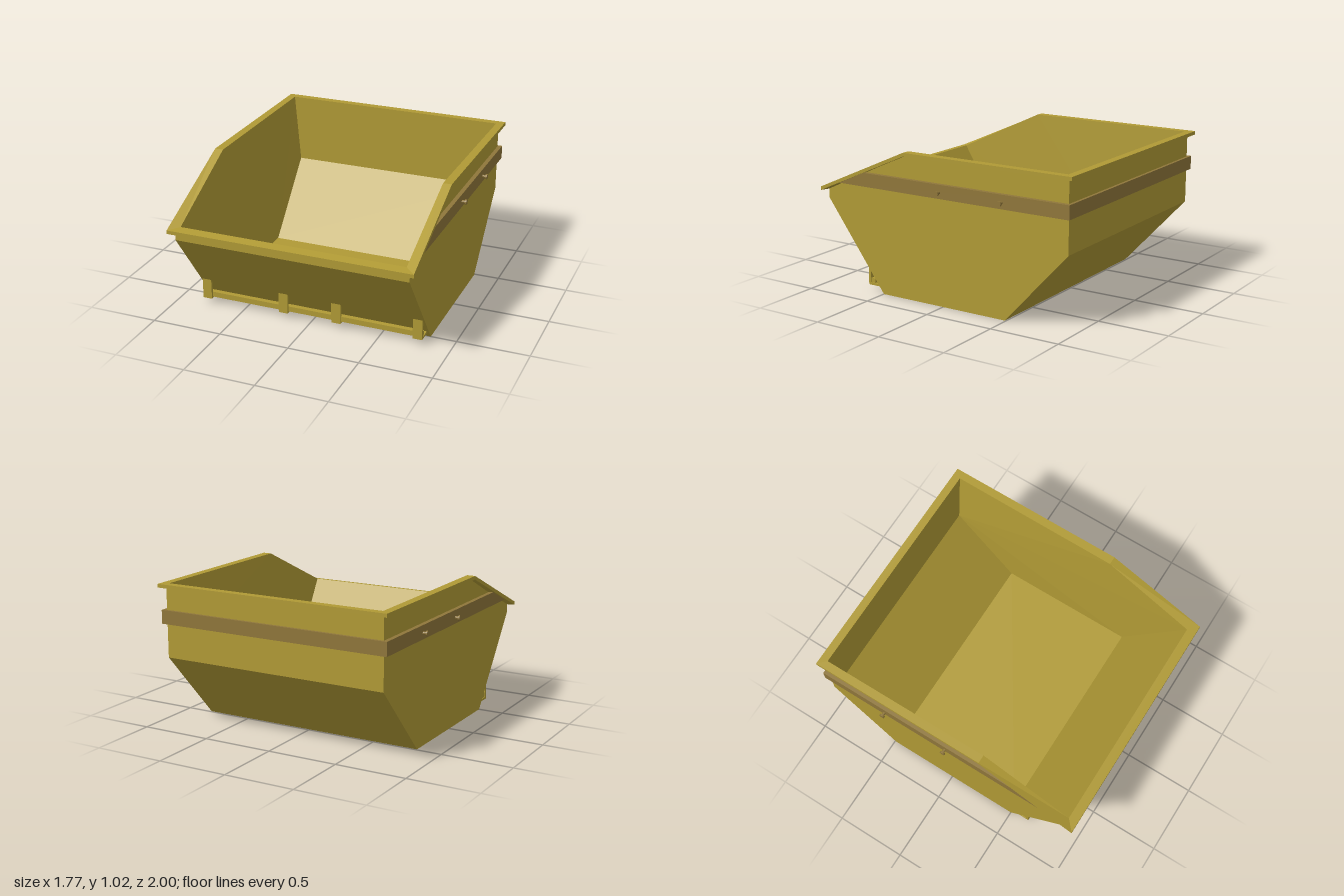
import * as THREE from 'three';

const yellow = new THREE.MeshStandardMaterial({ color: 0xb09a35, flatShading: true, side: THREE.DoubleSide });
const brown = new THREE.MeshStandardMaterial({ color: 0x8f763a, flatShading: true, side: THREE.DoubleSide });

// Flat-shaded mesh from polygons, each split as a fan from its first corner
function panels(name, polygons, material = yellow) {
  const pos = [];
  for (const p of polygons)
    for (let i = 1; i < p.length - 1; i++) pos.push(...p[0], ...p[i], ...p[i + 1]);
  const geo = new THREE.BufferGeometry();
  geo.setAttribute('position', new THREE.Float32BufferAttribute(pos, 3));
  geo.computeVertexNormals();
  const mesh = new THREE.Mesh(geo, material);
  mesh.name = name;
  return mesh;
}

// Box given by its limits
function box(name, x0, x1, y0, y1, z0, z1, material = yellow) {
  const mesh = new THREE.Mesh(new THREE.BoxGeometry(x1 - x0, y1 - y0, z1 - z0), material);
  mesh.position.set((x0 + x1) / 2, (y0 + y1) / 2, (z0 + z1) / 2);
  mesh.name = name;
  return mesh;
}

const mirror = ([x, y, z]) => [-x, y, z];

// Both sides of a profile of [x, y, z] points and the strips that join them
function trough(name, profile) {
  const left = profile.map(mirror);
  const polys = [profile.slice().reverse(), left];
  for (let i = 0; i < profile.length - 1; i++)
    polys.push([profile[i], profile[i + 1], left[i + 1], left[i]]);
  return { name, polys };
}

function createModel() {
  const group = new THREE.Group();

  // Outer shell, open at the top
  const outerZY = [[0.96, 0.69], [0.96, 0.62], [0.5, 0], [-0.49, 0], [-0.96, 0.51], [-0.96, 1.0], [0.28, 1.0]];
  const side = outerZY.map(([z, y]) => [0.82, y, z]);
  const left = side.map(mirror);
  const shell = [side, left.slice().reverse()];
  for (let i = 0; i < 5; i++) shell.push([side[i + 1], side[i], left[i], left[i + 1]]);
  group.add(panels('outerShell', shell));

  // Inner lining, tapering toward the floor; starts at the rear knee
  const knee = [0.76, 0.52, -0.945], rearRim = [0.805, 1.02, -0.945], bendRim = [0.8, 1.02, 0.28];
  const frontRim = [0.79, 0.71, 0.935], floorFront = [0.76, 0.02, 0.49], floorRear = [0.76, 0.02, -0.49];
  const inner = [knee, rearRim, bendRim, frontRim, floorFront, floorRear];
  const lining = [inner, inner.map(mirror).reverse()];
  const run = [rearRim, knee, floorRear, floorFront, frontRim];
  for (let i = 0; i < 4; i++)
    lining.push([run[i], mirror(run[i]), mirror(run[i + 1]), run[i + 1]]);
  group.add(panels('innerLining', lining));

  // Rim flange: a closed ring of quads, thickness 0.025
  const outerHalf = [[0.86, 0.7, 1], [0.86, 1.02, 0.28], [0.86, 1.02, -1]];
  const innerHalf = [frontRim, bendRim, rearRim];
  const loop = half => [...half, ...half.map(mirror).reverse()];
  const drop = ([x, y, z]) => [x, y - 0.025, z];
  const o = loop(outerHalf), n = loop(innerHalf);
  const rim = [];
  for (let i = 0; i < 6; i++) {
    const j = (i + 1) % 6;
    rim.push([o[i], o[j], n[j], n[i]]);
    rim.push([o[i], drop(o[i]), drop(o[j]), o[j]]);
    rim.push([drop(o[i]), drop(n[i]), drop(n[j]), drop(o[j])]);
    rim.push([n[i], n[j], drop(n[j]), drop(n[i])]);
  }
  group.add(panels('rimFlange', rim));

  // Reinforcing band: sides cut to the slope of the rim, plus the back
  const bandShape = new THREE.Shape([[-0.98, 0.745], [0.85, 0.745], [0.64, 0.84], [-0.98, 0.84]]
    .map(([z, y]) => new THREE.Vector2(-z, y)));
  for (const s of [1, -1]) {
    const band = new THREE.Mesh(
      new THREE.ExtrudeGeometry(bandShape, { depth: 0.035, bevelEnabled: false }), brown);
    band.rotation.y = Math.PI / 2;
    band.position.x = s > 0 ? 0.815 : -0.85;
    band.name = s > 0 ? 'leftBand' : 'rightBand';
    group.add(band);

    // Lifting pins: a neck with a wider head
    for (const z of [0, -0.485]) {
      const pin = new THREE.Group();
      pin.name = 'liftingPin';
      for (const [r, length, x] of [[0.01, 0.03, 0.86], [0.018, 0.012, 0.879]]) {
        const part = new THREE.Mesh(new THREE.CylinderGeometry(r, r, length, 16), brown);
        part.rotation.z = Math.PI / 2;
        part.position.x = s * x;
        part.name = r > 0.015 ? 'pinHead' : 'pinNeck';
        pin.add(part);
      }
      pin.position.set(0, 0.787, z);
      group.add(pin);
    }
  }
  group.add(box('backBand', -0.85, 0.85, 0.745, 0.84, -0.98, -0.95, brown));

  // Front foot brackets carrying a cross bar
  for (const x of [-0.777, -0.197, 0.192, 0.772]) {
    const bracket = new THREE.Group();
    bracket.name = 'frontBracket';
    bracket.add(box('bracketPlate', x - 0.033, x + 0.033, 0.042, 0.2, 0.622, 0.64));
    bracket.add(box('bracketFoot', x - 0.033, x + 0.033, 0.042, 0.058, 0.525, 0.63));
    group.add(bracket);
  }
  group.add(box('crossBar', -0.805, 0.8, 0.052, 0.09, 0.588, 0.624));

  return group;
}

export { createModel };
